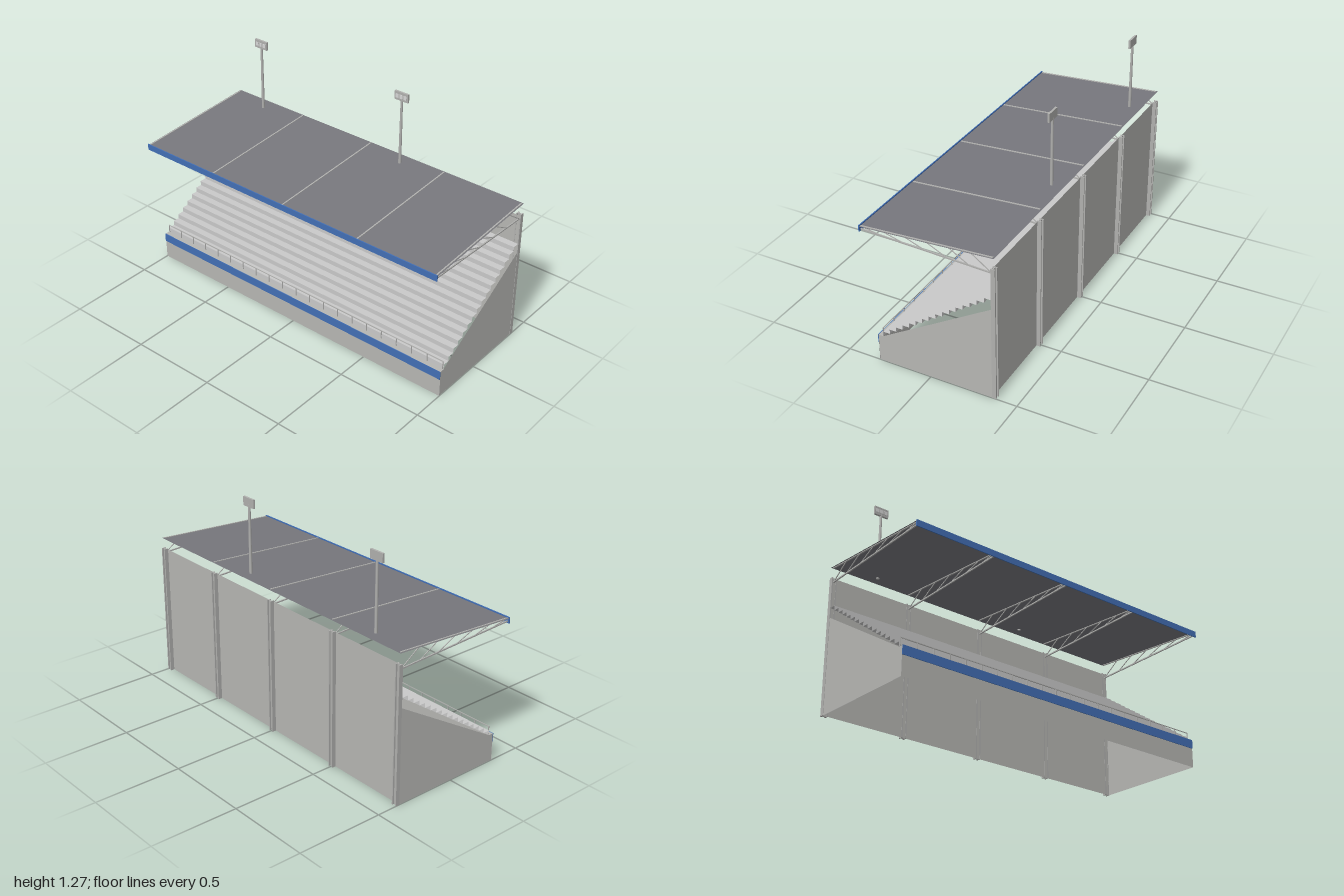
import * as THREE from 'three';

const mat = (name, color, double = false) => {
  const m = new THREE.MeshStandardMaterial({ color });
  m.name = name;
  if (double) m.side = THREE.DoubleSide;
  return m;
};

export function createModel() {
  const model = new THREE.Group();
  model.name = 'grandstand';
  const concrete = mat('concrete', 0xb6b6b3, true);
  const terrace = mat('terrace grey', 0xc9c9c9, true);
  const blue = mat('blue trim', 0x426fb5);
  const roofGrey = mat('roof grey', 0x77777d, true);
  const steel = mat('steel', 0xb0b0ae);
  const lampWhite = mat('lamp', 0xd6d6d6);

  const add = (name, geometry, material, parent = model) => {
    const mesh = new THREE.Mesh(geometry, material);
    mesh.name = name;
    parent.add(mesh);
    return mesh;
  };
  const box = (name, w, h, d, x, y, z, material, parent) => {
    const mesh = add(name, new THREE.BoxGeometry(w, h, d), material, parent);
    mesh.position.set(x, y, z);
    return mesh;
  };
  // Sheet that follows a (z, y) profile across the full width
  const sheet = (name, profile, halfWidth, material) => {
    const pos = [];
    for (let i = 0; i < profile.length - 1; i++) {
      const [z0, y0] = profile[i], [z1, y1] = profile[i + 1], w = halfWidth;
      pos.push(-w, y0, z0, w, y0, z0, w, y1, z1, -w, y0, z0, w, y1, z1, -w, y1, z1);
    }
    const g = new THREE.BufferGeometry();
    g.setAttribute('position', new THREE.Float32BufferAttribute(pos, 3));
    g.computeVertexNormals();
    return add(name, g, material);
  };
  // Square bar between two (z, y) points at a given x
  const bar = (name, x, [z0, y0], [z1, y1], size, parent) => {
    const len = Math.hypot(z1 - z0, y1 - y0);
    const mesh = box(name, size, size, len, x, (y0 + y1) / 2, (z0 + z1) / 2, steel, parent);
    mesh.rotation.x = Math.atan2(-(y1 - y0), z1 - z0);
  };

  // Front wall with ledge, and back wall
  sheet('frontWall', [[0.31, 0], [0.31, 0.16], [0.28, 0.16]], 1, concrete);
  box('frontStripe', 2, 0.05, 0.004, 0, 0.135, 0.312, blue);
  sheet('backWall', [[-0.36, 0], [-0.36, 0.775]], 0.998, concrete);

  // Sloping side walls
  const side = new THREE.Shape();
  [[0.31, 0], [0.31, 0.16], [0.28, 0.16], [-0.36, 0.545], [-0.36, 0]]
    .forEach(([z, y], i) => (i ? side.lineTo(-z, y) : side.moveTo(-z, y)));
  for (const s of [-1, 1]) {
    const wall = add('sideWall', new THREE.ShapeGeometry(side), concrete);
    wall.rotation.y = Math.PI / 2;
    wall.position.x = s * 0.998;
  }

  // Stepped terrace
  const rows = 16, steps = [[0.28, 0.16]];
  for (let i = 0; i < rows; i++) {
    const y = 0.16 + (i + 1) * 0.0275;
    steps.push([0.28 - i * 0.04, y], [0.28 - (i + 1) * 0.04, y]);
  }
  sheet('terraceSteps', steps, 0.998, terrace);

  // Front railing
  const railing = new THREE.Group();
  railing.name = 'railing';
  model.add(railing);
  box('rail', 1.99, 0.004, 0.004, 0, 0.209, 0.283, steel, railing);
  for (let i = 0; i <= 20; i++) {
    box('railPost', 0.004, 0.055, 0.004, -0.993 + i * 0.0993, 0.18, 0.283, steel, railing);
  }

  // H-section columns behind the back wall
  for (const x of [-0.985, -0.5, 0, 0.5, 0.985]) {
    const column = new THREE.Group();
    column.name = 'column';
    column.position.set(x, 0.391, -0.371);
    model.add(column);
    for (const s of [-1, 1]) box('columnFlange', 0.006, 0.782, 0.024, s * 0.012, 0, 0, steel, column);
    box('columnWeb', 0.02, 0.782, 0.006, 0, 0, 0, steel, column);
  }

  // Roof sheet and blue fascia
  sheet('roof', [[0.385, 0.799], [-0.378, 0.844]], 1, roofGrey);
  box('roofFascia', 2, 0.035, 0.006, 0, 0.788, 0.386, blue);

  // Roof trusses
  const panels = 6;
  const top = (t) => [0.38 - 0.75 * t, 0.799 + 0.044 * t];
  const low = (t) => [0.38 - 0.74 * t, 0.783 - 0.028 * t];
  for (const x of [-0.99, -0.5, 0, 0.5, 0.99]) {
    const truss = new THREE.Group();
    truss.name = 'roofTruss';
    model.add(truss);
    bar('topChord', x, top(0), top(1), 0.008, truss);
    bar('bottomChord', x, low(0), low(1), 0.007, truss);
    for (let i = 0; i < panels; i++) {
      bar('diagonal', x, top(i / panels), low((i + 1) / panels), 0.004, truss);
    }
  }

  // Floodlight masts
  for (const x of [-0.75, 0.25]) {
    const light = new THREE.Group();
    light.name = 'floodlight';
    light.position.set(x, 0, -0.306);
    model.add(light);
    const pole = add('pole', new THREE.CylinderGeometry(0.007, 0.009, 0.4, 10), steel, light);
    pole.position.y = 1.033;
    box('lampPanel', 0.088, 0.05, 0.012, 0, 1.245, 0, steel, light);
    for (let i = -1; i <= 1; i++) {
      box('lamp', 0.018, 0.022, 0.004, i * 0.026, 1.245, 0.007, lampWhite, light);
    }
  }
  return model;
}
